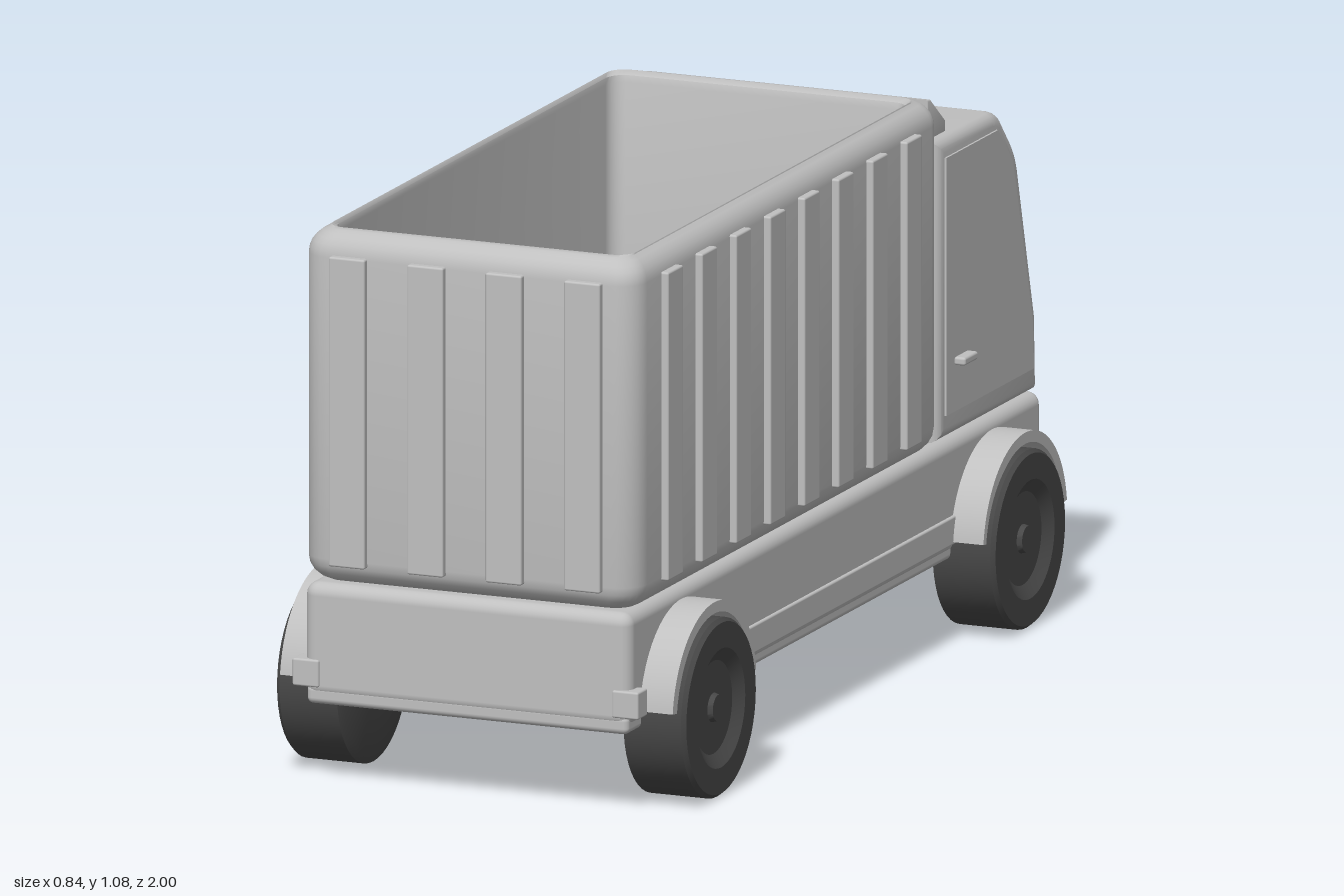
import * as THREE from 'three';
import { toCreasedNormals } from 'three/addons/utils/BufferGeometryUtils.js';
import { RoundedBoxGeometry } from 'three/addons/geometries/RoundedBoxGeometry.js';

const bodyGrey = new THREE.MeshStandardMaterial({ name: 'body grey', color: 0xc0c0c0 });
const tyreGrey = new THREE.MeshStandardMaterial({ name: 'tyre grey', color: 0x484848 });

// Rounded box given by its limits on each axis
function block(name, [x0, x1], [y0, y1], [z0, z1], r) {
  const mesh = new THREE.Mesh(new RoundedBoxGeometry(x1 - x0, y1 - y0, z1 - z0, 3, r), bodyGrey);
  mesh.position.set((x0 + x1) / 2, (y0 + y1) / 2, (z0 + z1) / 2);
  mesh.name = name;
  return mesh;
}

// Side profile, drawn as (z, y), extruded across x
function slab(name, shape, x0, x1, bevel = 0) {
  const raw = new THREE.ExtrudeGeometry(shape, {
    depth: x1 - x0 - 2 * bevel, bevelEnabled: bevel > 0, bevelSize: bevel,
    bevelThickness: bevel, bevelOffset: -bevel, bevelSegments: 4, curveSegments: 24,
  });
  raw.rotateY(-Math.PI / 2).translate(x1 - bevel, 0, 0);
  const mesh = new THREE.Mesh(toCreasedNormals(raw, 0.6), bodyGrey);
  mesh.name = name;
  return mesh;
}

const polygon = pts => new THREE.Shape(pts.map(([z, y]) => new THREE.Vector2(z, y)));

// Rounded rectangle loop at height y, half sizes w and l
function ring(w, l, y, r, zc) {
  const out = [], n = 6;
  const corners = [[1, 1], [-1, 1], [-1, -1], [1, -1]];
  corners.forEach(([sx, sz], c) => {
    for (let i = 0; i <= n; i++) {
      const a = (c + i / n) * Math.PI / 2;
      out.push([sx * (w - r) + r * Math.cos(a), y, zc + sz * (l - r) + r * Math.sin(a)]);
    }
  });
  return out;
}

// Open-topped cargo box: rings run up the outside, over the rim and down inside
function cargoGeometry() {
  const W = 0.345, L = 0.73, zc = 0.255, R = 0.05, rings = [];
  const arc = (y, a) => {
    const inset = R * (1 - Math.cos(a));
    rings.push(ring(W - inset, L - inset, y + R * Math.sin(a), 0.055 - inset * 0.5, zc));
  };
  for (let i = 0; i <= 5; i++) arc(0.395 + R, -Math.PI / 2 * (1 - i / 5));
  for (let i = 0; i <= 5; i++) arc(1.08 - R, Math.PI / 2 * i / 5 * 0.8);
  rings.push(ring(0.31, 0.685, 1.08, 0.035, zc));
  rings.push(ring(0.305, 0.67, 1.073, 0.035, zc));
  rings.push(ring(0.305, 0.665, 1.06, 0.035, zc));
  rings.push(ring(0.305, 0.665, 0.47, 0.035, zc));
  rings.push(ring(0.285, 0.645, 0.45, 0.03, zc));
  const n = rings[0].length, pos = [];
  const tri = (...p) => p.forEach(v => pos.push(...v));
  for (let k = 0; k + 1 < rings.length; k++) {
    for (let i = 0; i < n; i++) {
      const j = (i + 1) % n, a = rings[k], b = rings[k + 1];
      tri(a[i], b[i], a[j]);
      tri(a[j], b[i], b[j]);
    }
  }
  // Underside and floor
  const first = rings[0], last = rings[rings.length - 1];
  for (let i = 0; i < n; i++) {
    const j = (i + 1) % n;
    tri([0, 0.395, zc], first[i], first[j]);
    tri([0, 0.45, zc], last[j], last[i]);
  }
  const geo = new THREE.BufferGeometry();
  geo.setAttribute('position', new THREE.Float32BufferAttribute(pos, 3));
  return toCreasedNormals(geo, 0.7);
}

// Tyre with dished face and small hub, axis turned to x
function wheel(side, z) {
  const profile = [[0, -0.065], [0.155, -0.065], [0.172, -0.058], [0.172, 0.06], [0.165, 0.068],
    [0.115, 0.068], [0.1, 0.058], [0.09, 0.052], [0.028, 0.052], [0.025, 0.062], [0, 0.062]];
  const geo = new THREE.LatheGeometry(profile.map(p => new THREE.Vector2(...p)), 48);
  const mesh = new THREE.Mesh(toCreasedNormals(geo.toNonIndexed(), 0.5), tyreGrey);
  mesh.rotation.z = -side * Math.PI / 2;
  mesh.position.set(side * 0.352, 0.173, z);
  mesh.name = 'wheel';
  return mesh;
}

// Half-ring fender over a wheel
function fender(side, z) {
  const s = new THREE.Shape(), a = 0.13;
  s.absarc(z, 0.175, 0.2, a, Math.PI - a, false);
  s.absarc(z, 0.175, 0.178, Math.PI - a, a, true);
  s.closePath();
  return slab('fender', s, side > 0 ? 0.32 : -0.403, side > 0 ? 0.403 : -0.32);
}

export function createModel() {
  const truck = new THREE.Group();
  truck.name = 'truck';

  // Chassis with lower trim
  truck.add(block('chassis', [-0.335, 0.335], [0.175, 0.398], [-0.972, 0.992], 0.025));
  truck.add(block('lowerTrim', [-0.33, 0.33], [0.163, 0.2], [-0.965, 0.99], 0.012));
  for (const s of [-1, 1]) {
    truck.add(block('sideSill', [s * 0.335 - 0.006, s * 0.335 + 0.006], [0.195, 0.25], [-0.55, 0.58], 0.004));
    truck.add(block('rearCorner', [s * 0.328 - 0.027, s * 0.328 + 0.027], [0.197, 0.25], [0.95, 0.997], 0.004));
  }
  truck.add(block('frontBumper', [-0.352, 0.352], [0.2, 0.26], [-0.998, -0.93], 0.018));

  // Cargo box with upright ribs
  const cargo = new THREE.Group();
  cargo.name = 'cargoBox';
  const shell = new THREE.Mesh(cargoGeometry(), bodyGrey);
  shell.name = 'cargoShell';
  cargo.add(shell);
  for (let i = 0; i < 8; i++) {
    const z = 0.826 - i * 0.162;
    for (const s of [-1, 1]) {
      cargo.add(block('sideRib', [s * 0.345 - 0.014, s * 0.345 + 0.014], [0.437, 1.035], [z - 0.036, z + 0.036], 0.004));
    }
  }
  for (let i = 0; i < 4; i++) {
    const x = -0.243 + i * 0.161;
    cargo.add(block('rearRib', [x - 0.037, x + 0.037], [0.435, 1.035], [0.975, 0.999], 0.004));
  }
  truck.add(cargo);

  // Cab with rounded, sloping front
  const cab = new THREE.Shape();
  cab.moveTo(-0.482, 0.4);
  cab.lineTo(-0.482, 0.985);
  cab.lineTo(-0.74, 0.985);
  cab.quadraticCurveTo(-0.77, 0.985, -0.79, 0.965);
  cab.lineTo(-0.84, 0.91);
  cab.quadraticCurveTo(-0.862, 0.885, -0.872, 0.85);
  cab.lineTo(-0.953, 0.55);
  cab.lineTo(-0.958, 0.4);
  cab.closePath();
  truck.add(slab('cab', cab, -0.333, 0.333, 0.025));

  // Roof deflector
  truck.add(slab('roofDeflector', polygon([[-0.495, 0.975], [-0.495, 1.062], [-0.51, 1.06],
    [-0.58, 1.005], [-0.58, 0.975]]), -0.28, 0.305, 0.004));

  // Front panel
  truck.add(block('frontPanel', [-0.22, 0.22], [0.3, 0.522], [-0.98, -0.93], 0.01));

  // Door and handle on one side only
  truck.add(slab('door', polygon([[-0.51, 0.45], [-0.51, 0.95], [-0.755, 0.95], [-0.825, 0.875],
    [-0.92, 0.54], [-0.925, 0.45]]), 0.33, 0.337));
  truck.add(block('doorHandle', [0.335, 0.359], [0.54, 0.556], [-0.61, -0.547], 0.005));

  // Wheels and fenders
  for (const s of [-1, 1]) {
    truck.add(wheel(s, -0.715), wheel(s, 0.753));
    truck.add(fender(s, -0.73), fender(s, 0.745));
  }
  return truck;
}
